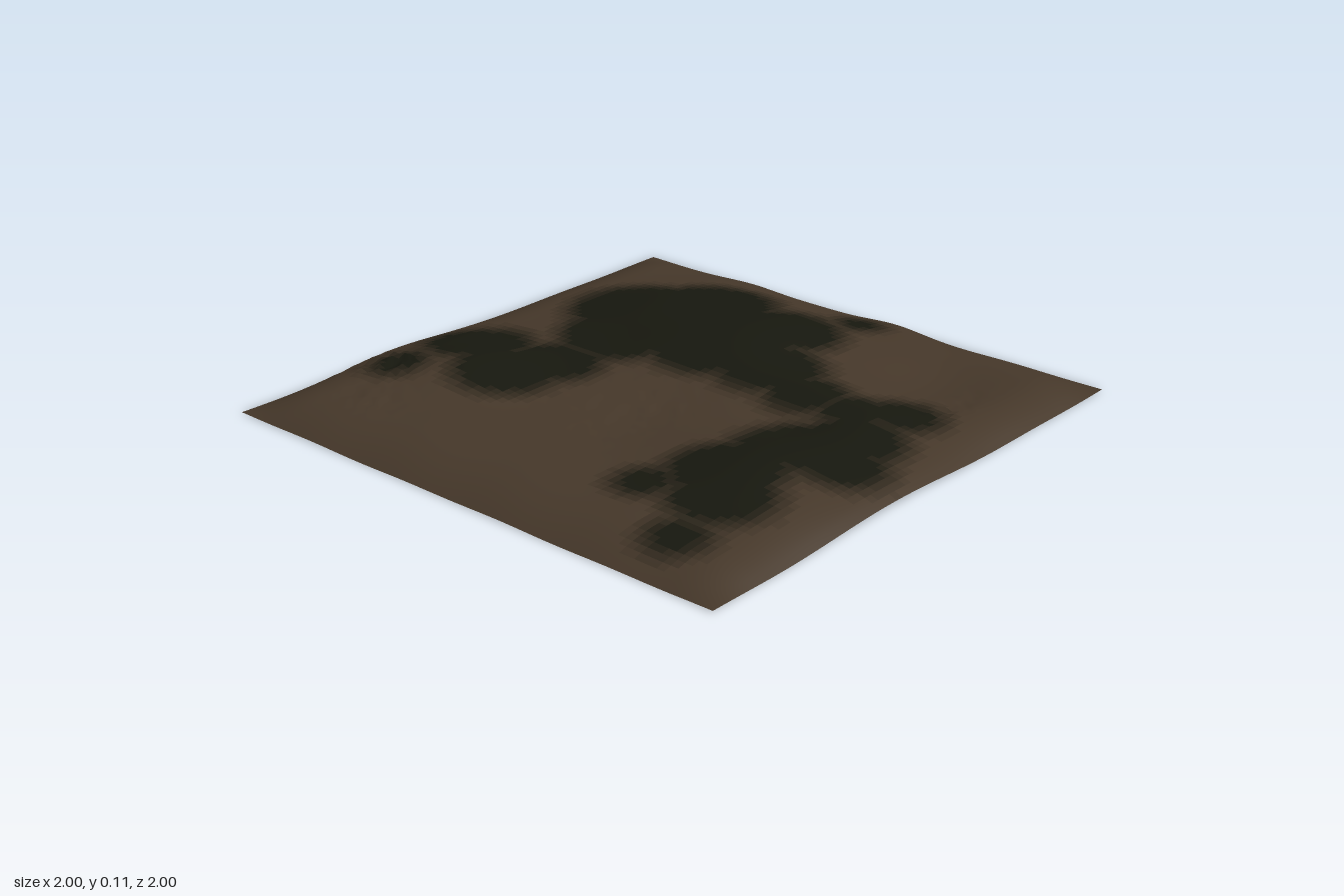
import * as THREE from 'three';

const SEGMENTS = 72;
const SHADES = 8;

// Rises and hollows: x, z, half-width in x, half-width in z, height
const HILLS = [
  [0.42, -0.12, 0.34, 0.36, 0.062], [0.4, -0.55, 0.3, 0.22, 0.025], [0.2, 0.4, 0.14, 0.25, 0.022],
  [-0.35, -0.65, 0.22, 0.24, 0.04], [-0.35, 0.62, 0.26, 0.22, 0.041], [0.1, 0.68, 0.2, 0.14, 0.02],
  [0.65, 0.6, 0.22, 0.2, -0.02], [-0.3, 0.05, 0.25, 0.2, -0.012], [-0.02, -0.85, 0.1, 0.15, -0.01],
  [-0.2, 1, 0.3, 0.12, 0.022], [-0.35, -1, 0.25, 0.1, 0.024],
  [1, 0.15, 0.1, 0.16, 0.016], [1, -0.48, 0.1, 0.16, 0.012],
];

// Grass patches: x, z, radius
const GRASS = [
  [0.42, -0.55, 0.25], [0.22, -0.42, 0.24], [0.6, -0.36, 0.24], [0.33, -0.1, 0.26],
  [0.57, 0, 0.2], [0.85, 0.11, 0.08], [0.28, 0.16, 0.19], [0.2, 0.38, 0.14],
  [0.19, 0.58, 0.13], [0.28, 0.7, 0.13], [-0.18, -0.75, 0.19], [-0.3, -0.5, 0.18],
  [-0.12, -0.45, 0.17], [-0.48, -0.82, 0.1], [-0.4, 0.55, 0.2], [-0.15, 0.6, 0.2],
  [-0.15, 0.78, 0.15], [-0.55, 0.65, 0.17], [-0.8, 0.7, 0.1], [0.02, 0.7, 0.17], [-0.6, 0.4, 0.1],
];

// Broken ground: x, z, half-width in x, half-width in z, roughness
const ROCKS = [
  [-0.5, -0.85, 0.1, 0.14, 0.014], [-0.72, -0.7, 0.07, 0.1, 0.008],
  [0.45, 0.76, 0.18, 0.05, 0.007], [-0.25, 0, 0.25, 0.2, 0.003],
];

const bump = (x, z, [cx, cz, rx, rz]) => Math.exp(-(((x - cx) / rx) ** 2) - ((z - cz) / rz) ** 2);

function hash(x, z) {
  const s = Math.sin(Math.round(x * 36) * 12.99 + Math.round(z * 36) * 78.23) * 43758.55;
  return s - Math.floor(s) - 0.5;
}

function heightAt(x, z) {
  // The ground drops away quickly at the rim
  const rimX = Math.min(1, (1 - Math.abs(x)) / 0.22);
  const rimZ = Math.min(1, (1 - Math.abs(z)) / 0.18);
  const rim = (1 - (1 - rimX) ** 2) * (1 - (1 - rimZ) ** 2);
  let h = 0.01 + 0.047 * rim;
  HILLS.forEach((hill, i) => {
    h += hill[4] * bump(x, z, hill) * (i < 9 ? rim : 1);
  });
  for (const rock of ROCKS) h += rock[4] * bump(x, z, rock) * hash(x, z) * 2;
  return h + 0.002 * Math.sin(9 * x + 4 * z) * Math.sin(11 * z - 3 * x);
}

function grassAt(x, z) {
  let cover = 0;
  for (const [cx, cz, r] of GRASS) {
    const d = Math.hypot(x - cx, z - cz);
    cover = Math.max(cover, 1 - THREE.MathUtils.smoothstep(d, r - 0.06, r + 0.08));
  }
  return cover;
}

export function createModel() {
  const group = new THREE.Group();
  group.name = 'terrain';

  // Height field
  const ground = new THREE.PlaneGeometry(2, 2, SEGMENTS, SEGMENTS).rotateX(-Math.PI / 2);
  const pos = ground.attributes.position;
  for (let i = 0; i < pos.count; i++) pos.setY(i, heightAt(pos.getX(i), pos.getZ(i)));
  ground.computeBoundingBox();
  ground.translate(0, -ground.boundingBox.min.y, 0);
  ground.computeVertexNormals();

  // Sort the cells into shades from bare soil to thick grass
  const cells = Array.from({ length: SHADES }, () => []);
  const index = ground.index.array;
  for (let i = 0; i < index.length; i += 6) {
    const x = (pos.getX(index[i]) + pos.getX(index[i + 4])) / 2;
    const z = (pos.getZ(index[i]) + pos.getZ(index[i + 4])) / 2;
    const shade = Math.round(grassAt(x, z) * (SHADES - 1));
    cells[shade].push(...index.slice(i, i + 6));
  }

  // One mesh per shade, sharing points and normals so the surface stays smooth
  const soil = new THREE.Color(0x46382a);
  const grass = new THREE.Color(0x17180f);
  cells.forEach((list, i) => {
    if (!list.length) return;
    const geometry = new THREE.BufferGeometry();
    geometry.setAttribute('position', pos);
    geometry.setAttribute('normal', ground.attributes.normal);
    geometry.setIndex(list);
    const color = soil.clone().lerp(grass, i / (SHADES - 1));
    const mesh = new THREE.Mesh(geometry, new THREE.MeshStandardMaterial({ color, side: THREE.DoubleSide }));
    mesh.name = i === 0 ? 'soil' : i === SHADES - 1 ? 'grass' : `grassEdge${i}`;
    group.add(mesh);
  });
  return group;
}
